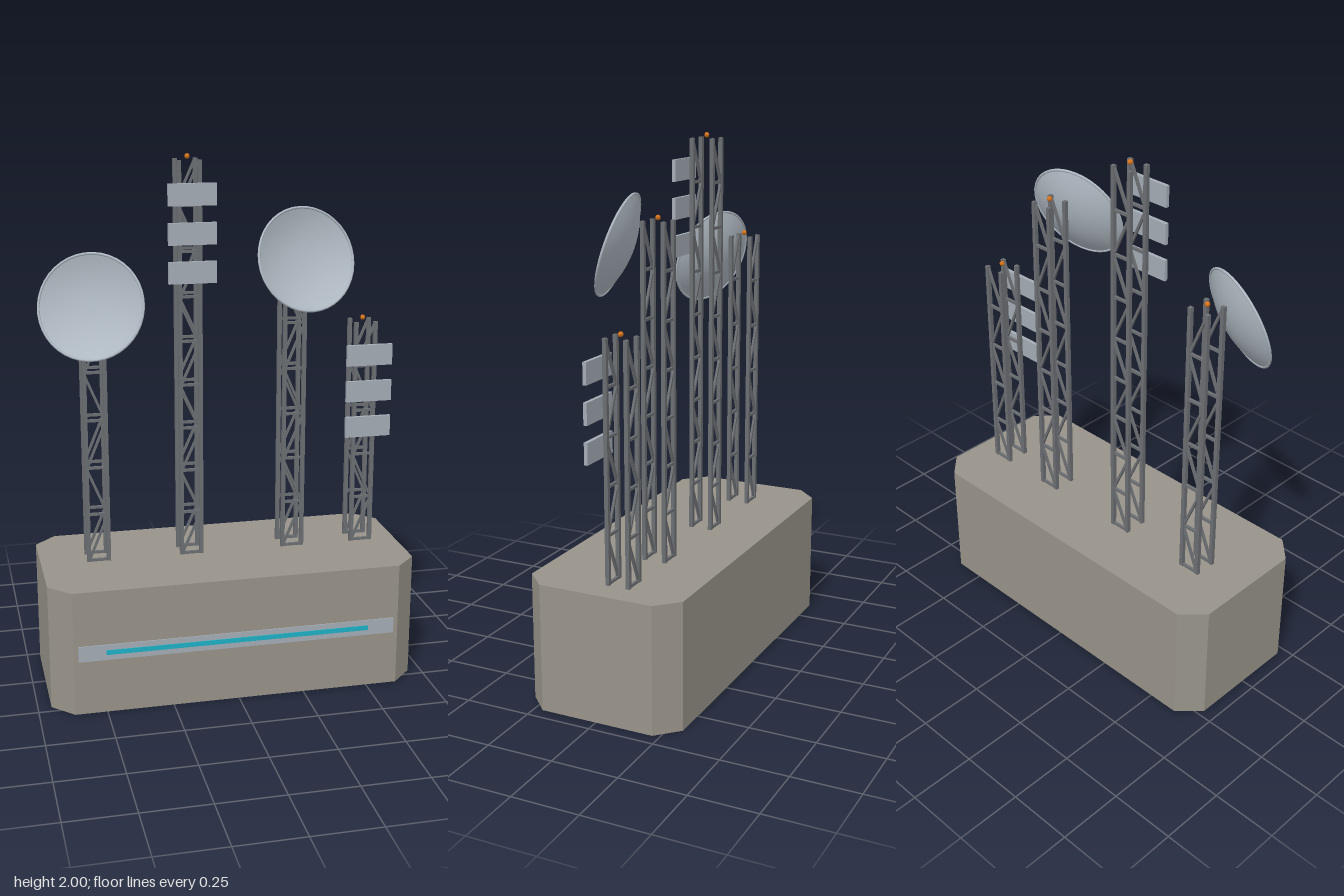
import * as THREE from 'three';

const mat = (name, color, extra = {}) => Object.assign(new THREE.MeshStandardMaterial({ color, ...extra }), { name });

export function createModel() {
  const concrete = mat('concrete', 0x98948a);
  const steel = mat('steel', 0x6c6f73);
  const panelGrey = mat('panelGrey', 0xa4adb6);
  const dishGrey = mat('dishGrey', 0xb0bac3);
  const amber = mat('amber', 0xd9741c);
  const cyan = mat('cyan', 0x1fb2c6);

  const model = new THREE.Group();
  model.name = 'antennaStation';

  const add = (parent, name, geometry, material, x = 0, y = 0, z = 0) => {
    const mesh = new THREE.Mesh(geometry, material);
    mesh.name = name;
    mesh.position.set(x, y, z);
    parent.add(mesh);
    return mesh;
  };
  const box = (parent, name, w, h, d, material, x, y, z) =>
    add(parent, name, new THREE.BoxGeometry(w, h, d), material, x, y, z);

  // Base block with chamfered vertical corners
  const baseH = 0.48, W = 0.7, D = 0.3, C = 0.08;
  const outline = new THREE.Shape([
    [-W + C, -D], [W - C, -D], [W, -D + C], [W, D - C],
    [W - C, D], [-W + C, D], [-W, D - C], [-W, -D + C],
  ].map(([x, y]) => new THREE.Vector2(x, y)));
  const baseGeo = new THREE.ExtrudeGeometry(outline, { depth: baseH, bevelEnabled: false });
  baseGeo.rotateX(-Math.PI / 2);
  add(model, 'base', baseGeo, concrete, 0, 0, -0.003);

  // Front strip with a light bar
  box(model, 'frontStrip', 1.205, 0.06, 0.008, panelGrey, 0, 0.24, 0.297);
  box(model, 'lightBar', 1.0, 0.018, 0.008, cyan, 0, 0.24, 0.3);

  // Lattice tower: four legs, with rungs and zigzag braces front and back
  const HX = 0.038, HZ = 0.04;
  function tower(x, height, bays) {
    const g = new THREE.Group();
    g.name = 'tower';
    g.position.set(x, baseH, -0.042);
    const step = height / bays;
    for (const z of [-HZ, HZ]) {
      for (const sx of [-HX, HX]) box(g, 'leg', 0.015, height, 0.015, steel, sx, height / 2, z);
      for (let k = 0; k < bays; k++) {
        box(g, 'rung', HX * 2, 0.01, 0.01, steel, 0, k * step + 0.005, z);
        const brace = box(g, 'brace', 0.009, Math.hypot(step, HX * 2), 0.009, steel, 0, (k + 0.5) * step, z);
        brace.rotation.z = (k % 2 ? 1 : -1) * Math.atan2(HX * 2, step);
      }
    }
    add(g, 'beacon', new THREE.SphereGeometry(0.01, 8, 6), amber, 0, height + 0.01, 0);
    model.add(g);
  }

  // Shallow dish with a rim, facing forward, turned by yaw and tipped up by pitch
  const R = 0.19, depth = 0.05;
  function bowl(offset) {
    const pts = [];
    for (let i = 0; i <= 10; i++) {
      const t = i / 10;
      pts.push(new THREE.Vector2(R * t, depth * t * t + offset * (1 - t)));
    }
    return pts;
  }
  function dish(x, y, yaw, pitch) {
    const g = new THREE.Group();
    g.name = 'dish';
    g.position.set(x, y, 0.064);
    g.rotation.set(-pitch, yaw, 0, 'YXZ');
    const back = new THREE.LatheGeometry(bowl(0), 40).rotateX(Math.PI / 2);
    const front = new THREE.LatheGeometry(bowl(0.006).reverse(), 40).rotateX(Math.PI / 2);
    add(g, 'dishBack', back, dishGrey);
    add(g, 'dishFront', front, dishGrey);
    add(g, 'dishRim', new THREE.TorusGeometry(R, 0.005, 8, 40), dishGrey, 0, 0, depth);
    model.add(g);
  }

  // Stack of three flat panel antennas
  function panels(x, topY) {
    for (let i = 0; i < 3; i++) box(model, 'panelAntenna', 0.178, 0.08, 0.014, panelGrey, x, topY - i * 0.14, 0.05);
  }

  tower(-0.48, 1.1, 6);
  tower(-0.12, 1.5, 9);
  tower(0.28, 1.24, 7);
  tower(0.56, 0.88, 5);
  dish(-0.484, 1.47, -0.35, 0.3);
  dish(0.28, 1.611, 0.2, 0.32);
  panels(-0.12, 1.863);
  panels(0.56, 1.243);

  return model;
}
